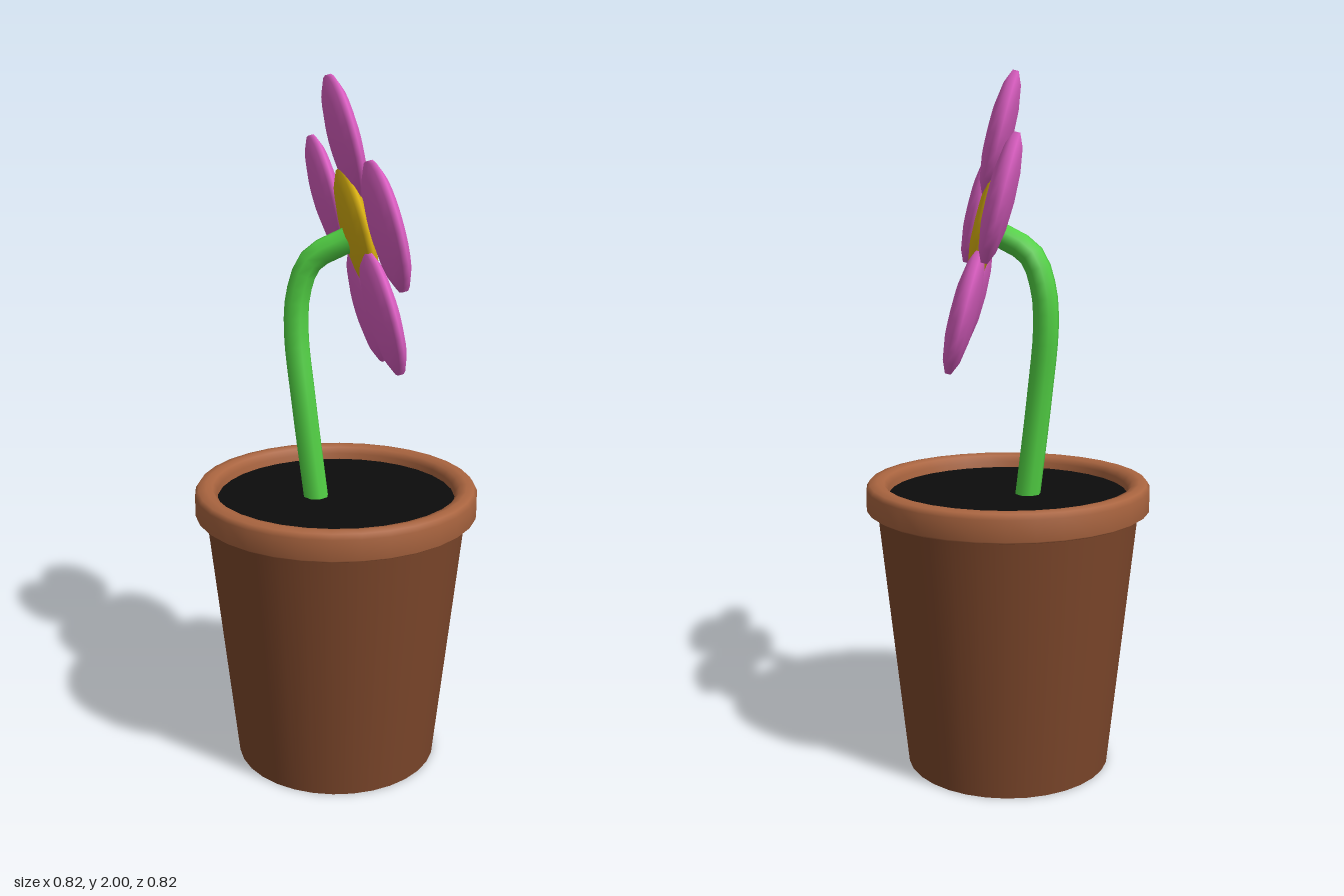
import * as THREE from 'three';

const mat = (color, opts = {}) => new THREE.MeshStandardMaterial({ color, ...opts });

function addMesh(parent, name, geometry, material) {
  const mesh = new THREE.Mesh(geometry, material);
  mesh.name = name;
  parent.add(mesh);
  return mesh;
}

const lathe = (points, sides) =>
  new THREE.LatheGeometry(points.map(([x, y]) => new THREE.Vector2(x, y)), sides);

export function createModel() {
  const model = new THREE.Group();
  model.name = 'pottedFlower';

  // Pot: tapered wall with a flat base
  const potMat = mat(0x7d472b);
  const wall = addMesh(model, 'potWall', new THREE.CylinderGeometry(0.382, 0.298, 0.79, 32, 1, true), potMat);
  wall.position.y = 0.395;
  const base = addMesh(model, 'potBase', new THREE.CircleGeometry(0.298, 32), potMat);
  base.rotation.x = Math.PI / 2;

  // Rim: band with softly rounded lip, closed back to its underside
  const rimProfile = [
    [0.345, 0.765], [0.4, 0.765], [0.411, 0.772], [0.411, 0.832], [0.402, 0.846],
    [0.38, 0.85], [0.36, 0.845], [0.347, 0.828], [0.345, 0.765],
  ];
  addMesh(model, 'potRim', lathe(rimProfile, 32), mat(0xa9643f));

  // Soil
  const soil = addMesh(model, 'soil', new THREE.CircleGeometry(0.352, 32), mat(0x0c0c0c));
  soil.rotation.x = -Math.PI / 2;
  soil.position.y = 0.81;

  // Stem: leaning upward, then bending over to the flower head
  const path = new THREE.CatmullRomCurve3([
    [-0.052, 0.79, 0.022], [-0.09, 1.1, 0.028], [-0.114, 1.3, 0.022],
    [-0.108, 1.41, 0.016], [-0.072, 1.5, 0.006], [0.03, 1.56, -0.022],
  ].map((p) => new THREE.Vector3(...p)));
  addMesh(model, 'stem', new THREE.TubeGeometry(path, 20, 0.037, 8, false),
    mat(0x52d244, { side: THREE.DoubleSide }));

  // Flower head: flattened round lobes all facing the same way
  const head = new THREE.Group();
  head.name = 'flowerHead';
  model.add(head);
  const facing = new THREE.Vector3(0.81, 0.25, -0.53).normalize();
  const tilt = new THREE.Quaternion().setFromUnitVectors(new THREE.Vector3(0, 1, 0), facing);
  const lobe = new THREE.SphereGeometry(1, 24, 7);

  function addLobe(name, center, radius, thickness, material) {
    const mesh = addMesh(head, name, lobe, material);
    mesh.scale.set(radius, thickness, radius);
    mesh.quaternion.copy(tilt);
    mesh.position.set(...center);
  }

  addLobe('flowerCenter', [0.045, 1.587, -0.035], 0.175, 0.037, mat(0xd8b010));

  const petalMat = mat(0xdc5fc3);
  const petals = [
    [0.021, 1.831, -0.008], [0.213, 1.627, 0.161], [0.166, 1.378, 0.061],
    [0.02, 1.347, -0.184], [-0.136, 1.655, -0.231],
  ];
  petals.forEach((center, i) => addLobe(`petal${i + 1}`, center, 0.178, 0.037, petalMat));

  return model;
}
